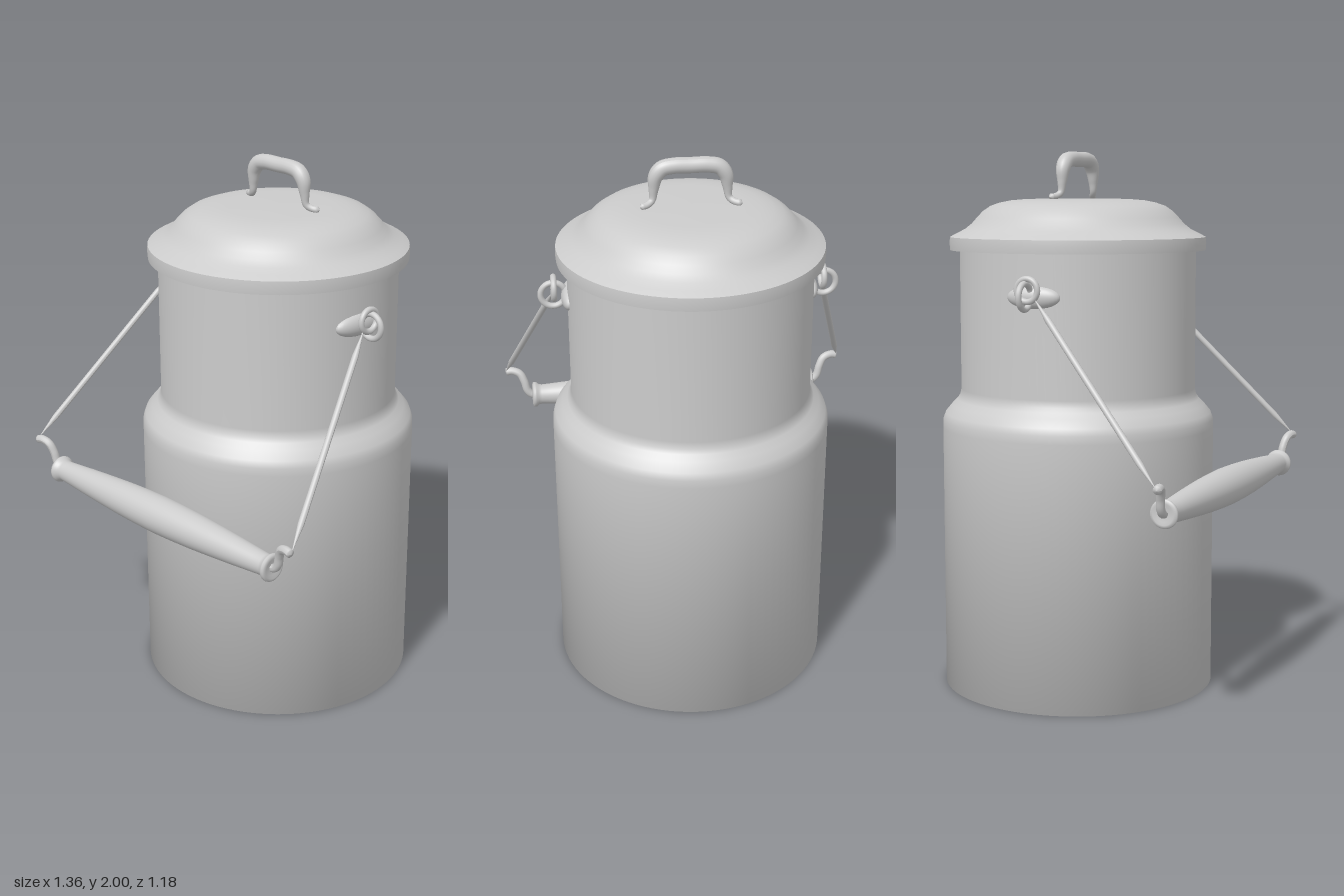
import * as THREE from 'three';

const material = new THREE.MeshStandardMaterial({ color: 0xcccccc, side: THREE.DoubleSide });
const CAN_Z = -0.085;

function add(parent, name, geometry, x = 0, y = 0, z = 0) {
  const mesh = new THREE.Mesh(geometry, material);
  mesh.name = name;
  mesh.position.set(x, y, z);
  parent.add(mesh);
  return mesh;
}

// Doubled points in a profile give a sharp edge
function lathe(profile, segments = 96) {
  return new THREE.LatheGeometry(profile.map(([r, y]) => new THREE.Vector2(r, y)), segments);
}

function curve(points) {
  return new THREE.CatmullRomCurve3(points.map((p) => new THREE.Vector3(...p)), false, 'centripetal');
}

// Round bar along a path, with its radius given by a function of 0..1
function bar(path, segments, sides, radiusAt) {
  const geometry = new THREE.TubeGeometry(path, segments, 1, sides);
  const pos = geometry.attributes.position;
  const v = new THREE.Vector3();
  for (let i = 0; i <= segments; i++) {
    const centre = path.getPointAt(i / segments);
    // End rings shrink to a point so the bar is closed
    const r = i === 0 || i === segments ? 0.0001 : radiusAt(i / segments);
    for (let j = 0; j <= sides; j++) {
      const k = i * (sides + 1) + j;
      v.fromBufferAttribute(pos, k).sub(centre).multiplyScalar(r).add(centre);
      pos.setXYZ(k, v.x, v.y, v.z);
    }
  }
  geometry.computeVertexNormals();
  return geometry;
}

export function createModel() {
  const model = new THREE.Group();
  model.name = 'milkCan';

  // Wide body, rounded shoulder and straight neck
  add(model, 'body', lathe([
    [0, 0], [0.51, 0], [0.51, 0.98], [0.509, 1.01], [0.5, 1.035], [0.475, 1.065],
    [0.455, 1.085], [0.445, 1.1], [0.44, 1.125], [0.44, 1.66],
  ]), 0, 0, CAN_Z);

  // Domed lid with an upright rim
  add(model, 'lid', lathe([
    [0.43, 1.64], [0.476, 1.64], [0.476, 1.64], [0.478, 1.665], [0.476, 1.688], [0.476, 1.688],
    [0.45, 1.702], [0.42, 1.717], [0.395, 1.737], [0.375, 1.76], [0.353, 1.783], [0.325, 1.802],
    [0.29, 1.814], [0.25, 1.822], [0.19, 1.827], [0, 1.829],
  ]), 0, 0, CAN_Z);

  // Lid handle: thick arch, thin ankles and small splayed feet
  const arch = curve([
    [-0.18, 1.835, -0.11], [-0.155, 1.837, -0.1], [-0.135, 1.85, -0.088], [-0.129, 1.89, CAN_Z],
    [-0.122, 1.935, CAN_Z], [-0.1, 1.963, CAN_Z], [-0.06, 1.972, CAN_Z], [0, 1.972, CAN_Z],
    [0.06, 1.972, CAN_Z], [0.1, 1.963, CAN_Z], [0.122, 1.935, CAN_Z], [0.129, 1.89, CAN_Z],
    [0.135, 1.85, -0.088], [0.155, 1.837, -0.1], [0.18, 1.835, -0.11],
  ]);
  add(model, 'lidHandle', bar(arch, 80, 16, (t) => {
    const fromEnd = Math.min(t, 1 - t);
    return 0.012 + 0.016 * THREE.MathUtils.smoothstep(fromEnd, 0.08, 0.3);
  }));

  // Wooden grip, thickest in the middle, flanged at both ends
  const half = [
    [0.069, 0], [0.067, 0.1], [0.063, 0.2], [0.057, 0.3], [0.05, 0.4], [0.042, 0.5],
    [0.039, 0.54], [0.042, 0.552], [0.049, 0.56], [0.051, 0.567], [0.049, 0.574],
    [0.038, 0.578], [0.028, 0.572], [0, 0.572],
  ];
  const mirrored = half.slice(1).reverse().map(([r, y]) => [r, -y]);
  const grip = add(model, 'grip', lathe([...mirrored, ...half], 40), 0, 0.79, 0.518);
  grip.rotation.z = Math.PI / 2;

  // Ear, ring and bail wire on each side
  for (const s of [1, -1]) {
    const side = new THREE.Group();
    side.name = s > 0 ? 'leftFittings' : 'rightFittings';
    model.add(side);

    const ear = add(side, 'ear', new THREE.SphereGeometry(1, 32, 20), s * 0.428, 1.487, -0.045);
    ear.scale.set(0.033, 0.042, 0.1);
    ear.rotation.y = -s * 0.09;

    add(side, 'earRing', new THREE.TorusGeometry(0.045, 0.011, 12, 36), s * 0.49, 1.493, -0.048);

    const loop = add(side, 'bailLoop', new THREE.TorusGeometry(0.04, 0.011, 12, 36), s * 0.487, 1.515, -0.04);
    loop.rotation.y = Math.PI / 2;

    const wire = new THREE.LineCurve3(
      new THREE.Vector3(s * 0.487, 1.49, -0.014), new THREE.Vector3(s * 0.68, 0.892, 0.538));
    add(side, 'bailWire', bar(wire, 8, 12, () => 0.0115));

    const hook = curve([
      [s * 0.682, 0.888, 0.54], [s * 0.655, 0.893, 0.537], [s * 0.625, 0.882, 0.53],
      [s * 0.608, 0.85, 0.522], [s * 0.597, 0.812, 0.518], [s * 0.58, 0.793, 0.518],
      [s * 0.54, 0.79, 0.518],
    ]);
    add(side, 'bailHook', bar(hook, 40, 12, () => 0.0155));
  }
  return model;
}
